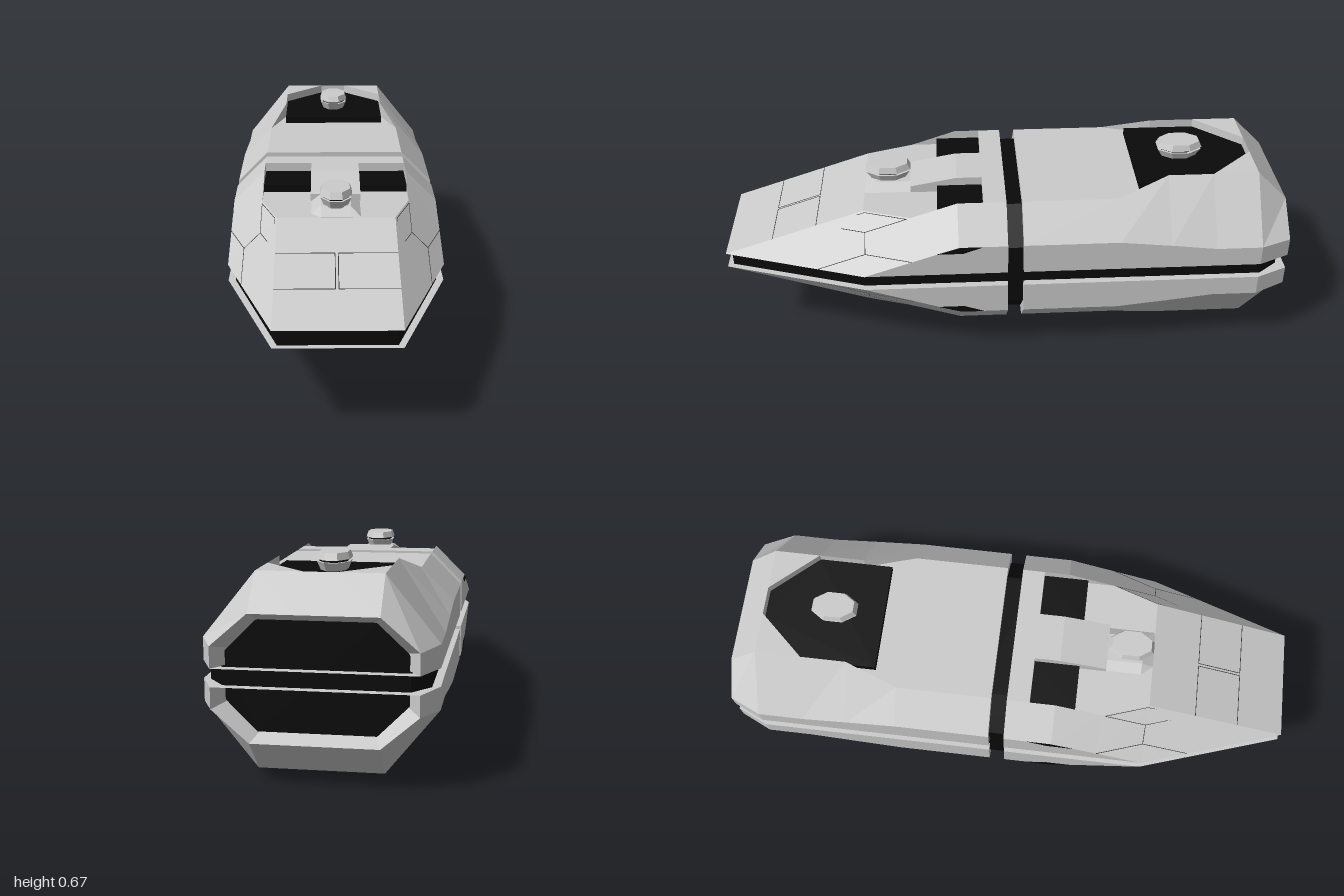
import * as THREE from 'three';

const grey = new THREE.MeshStandardMaterial({ color: 0xcccccc, flatShading: true });
const black = new THREE.MeshStandardMaterial({ color: 0x0a0a0a, flatShading: true });
const seamGrey = new THREE.MeshStandardMaterial({ color: 0x444444 });

const MID = 0.335;   // height of the mirror plane between the two hull halves
const GAP = 0.363;   // underside of the upper half

function mesh(name, geometry, material, parent) {
  const m = new THREE.Mesh(geometry, material);
  m.name = name;
  parent.add(m);
  return m;
}

// Loft through stations [z, [x, y], ...]; each half section is mirrored in x.
// Stations run from front to back, points from the bottom edge to the top.
function loft(stations) {
  const loops = stations.map(([z, ...half]) => [
    ...half.map(([x, y]) => new THREE.Vector3(x, y, z)),
    ...half.slice().reverse().map(([x, y]) => new THREE.Vector3(-x, y, z)),
  ]);
  const out = [];
  const tri = (a, b, c) => {
    if (new THREE.Triangle(a, b, c).getArea() > 1e-7) {
      for (const p of [a, b, c]) out.push(p.x, p.y, p.z);
    }
  };
  const n = loops[0].length;
  const last = loops.length - 1;
  for (let i = 0; i < last; i++) {
    for (let j = 0; j < n; j++) {
      const k = (j + 1) % n;
      tri(loops[i][j], loops[i + 1][k], loops[i][k]);
      tri(loops[i][j], loops[i + 1][j], loops[i + 1][k]);
    }
  }
  // End caps
  const centre = (loop) => loop.reduce((s, p) => s.add(p), new THREE.Vector3()).divideScalar(n);
  const c0 = centre(loops[0]), c1 = centre(loops[last]);
  for (let j = 0; j < n; j++) {
    const k = (j + 1) % n;
    tri(c0, loops[0][j], loops[0][k]);
    tri(c1, loops[last][k], loops[last][j]);
  }
  const g = new THREE.BufferGeometry();
  g.setAttribute('position', new THREE.Float32BufferAttribute(out, 3));
  g.computeVertexNormals();
  return g;
}

// Flat plate from half an outline in (x, z), mirrored in x
function plate(half, bottom, top) {
  const pts = [...half, ...half.slice().reverse().map(([x, z]) => [-x, z])];
  const shape = new THREE.Shape(pts.map(([x, z]) => new THREE.Vector2(x, z)));
  const g = new THREE.ExtrudeGeometry(shape, { depth: top - bottom, bevelEnabled: false });
  return g.rotateX(Math.PI / 2).translate(0, top, 0);
}

// Octagonal block along z, symmetric about the mirror plane
function octagon(w, h, cut, z0, z1) {
  const pts = [[w, h - cut], [w - cut, h], [cut - w, h], [-w, h - cut],
    [-w, cut - h], [cut - w, -h], [w - cut, -h], [w, cut - h]];
  const shape = new THREE.Shape(pts.map(([x, y]) => new THREE.Vector2(x, y)));
  return new THREE.ExtrudeGeometry(shape, { depth: z1 - z0, bevelEnabled: false })
    .translate(0, MID, z0);
}

// Faceted oval turret standing at height y
function turret(name, y, z, parent) {
  const group = new THREE.Group();
  group.name = name;
  group.position.set(0, y, z);
  group.scale.z = 1.5;
  const ring = (part, profile, material) => {
    const g = new THREE.LatheGeometry(profile.map(([r, h]) => new THREE.Vector2(r, h)), 8);
    mesh(part, g.rotateY(Math.PI / 8), material, group);
  };
  ring('turretBase', [[0, 0], [0.044, 0], [0.056, 0.028], [0, 0.028]], grey);
  ring('turretNeck', [[0.048, 0.026], [0.048, 0.038]], black);
  ring('turretCap', [[0, 0.036], [0.058, 0.036], [0.05, 0.058], [0, 0.058]], grey);
  parent.add(group);
}

// Thin panel seam between two points
function seam(a, b, parent) {
  const path = new THREE.LineCurve3(a, b);
  mesh('panelSeam', new THREE.TubeGeometry(path, 1, 0.0015, 4), seamGrey, parent);
}

function buildHalf(name) {
  const half = new THREE.Group();
  half.name = name;

  // Front hull: wedge nose, level deck, raised rims beside the sunken vents
  const wall = [0.36, GAP], shoulder = [0.36, 0.475], rim = [0.25, 0.585];
  mesh('frontHull', loft([
    [1, [0.195, GAP], [0.195, GAP], [0.195, GAP], [0.195, GAP]],
    [0.5, wall, wall, [0.195, 0.53], [0.195, 0.53]],
    [0.335, wall, [0.36, 0.419], [0.25, 0.53], [0.25, 0.53]],
    [0.17, wall, shoulder, rim, [0.25, 0.53]],
    [0.08, wall, shoulder, rim, [0.25, 0.53]],
    [0.08, wall, shoulder, rim, rim],
    [0, wall, shoulder, rim, rim],
  ]), grey, half);

  // Centre ridge with the sloped turret mount in front
  mesh('centreRidge', loft([
    [0.5, [0.085, 0.528], [0.05, 0.531]],
    [0.46, [0.085, 0.528], [0.05, 0.555]],
    [0.335, [0.085, 0.528], [0.05, 0.555]],
    [0.335, [0.085, 0.528], [0.085, 0.555]],
    [0.17, [0.085, 0.528], [0.085, 0.585]],
    [0.07, [0.085, 0.528], [0.085, 0.585]],
  ]), grey, half);
  turret('frontTurret', 0.553, 0.415, half);

  for (const s of [1, -1]) {
    const vent = mesh('deckVent', new THREE.BoxGeometry(0.164, 0.03, 0.16), black, half);
    vent.position.set(s * 0.167, 0.54, 0.16);

    // Slanted slot at the top of the side wall
    const slot = new THREE.Shape([[0.245, 0.45], [0.165, 0.475], [0.085, 0.475], [0.155, 0.45]]
      .map(([z, y]) => new THREE.Vector2(z, y)));
    const g = new THREE.ExtrudeGeometry(slot, { depth: 0.006, bevelEnabled: false });
    mesh('sideSlot', g.rotateY(-Math.PI / 2).translate(s * 0.358 + 0.003, 0, 0), black, half);

    // Seams on the nose deck
    const deck = (x, y) => new THREE.Vector3(s * x, y, 1 - (y - GAP) * 3);
    seam(deck(0.005, 0.473), deck(0.195, 0.473), half);
    seam(deck(0.005, 0.473), deck(0.005, 0.42), half);
    seam(deck(0.005, 0.42), deck(0.195, 0.42), half);

    // Seams on the slanted cheek
    const cheek = (x, y) => new THREE.Vector3(s * x, y, (0.893 - x - y) / 0.339);
    const lines = [
      [[0.2, 0.475], [0.2, 0.525], [0.25, 0.525], [0.25, 0.475], [0.2, 0.475]],
      [[0.25, 0.475], [0.305, 0.42], [0.36, 0.42]],
      [[0.305, 0.42], [0.305, GAP]],
    ];
    for (const line of lines) {
      for (let i = 1; i < line.length; i++) seam(cheek(...line[i - 1]), cheek(...line[i]), half);
    }
  }

  // Rear hull: level roof, sunken pentagonal bay, bevelled stern with inner lip
  const bayRim = [0.195, 0.64];
  mesh('rearHull', loft([
    [-0.055, wall, shoulder, rim, rim, rim],
    [-0.39, wall, shoulder, rim, rim, rim],
    [-0.57, wall, [0.36, 0.455], bayRim, bayRim, [0.195, 0.585]],
    [-0.73, wall, [0.36, 0.435], bayRim, bayRim, [0.195, 0.585]],
    [-0.89, wall, [0.36, 0.435], bayRim, [0.05, 0.64], [0.05, 0.585]],
    [-0.89, wall, [0.36, 0.435], bayRim, [0.05, 0.64], [0.05, 0.64]],
    [-1, [0.31, GAP], [0.31, 0.43], [0.195, 0.53], [0.05, 0.53], [0.05, 0.53]],
    [-0.94, [0.27, GAP], [0.27, 0.415], [0.17, 0.5], [0.05, 0.5], [0.05, 0.5]],
  ]), grey, half);
  mesh('rearBayFloor', plate([[0.194, -0.47], [0.194, -0.73], [0.05, -0.888]], 0.58, 0.61),
    black, half);
  turret('rearTurret', 0.612, -0.64, half);
  return half;
}

export function createModel() {
  const ship = new THREE.Group();
  ship.name = 'spaceship';

  ship.add(buildHalf('upperHull'));
  const lower = buildHalf('lowerHull');
  lower.scale.y = -1;
  lower.position.y = 2 * MID;
  ship.add(lower);

  // Dark core seen in the grooves and the stern opening
  mesh('coreSlab', plate([[0.18, 0.98], [0.335, 0.5], [0.335, -0.9], [0.28, -0.97]],
    0.306, 0.364), black, ship);
  mesh('coreCollar', octagon(0.335, 0.225, 0.11, -0.1, 0.04), black, ship);
  mesh('sternOpening', octagon(0.275, 0.17, 0.095, -0.955, -0.935), black, ship);
  return ship;
}
